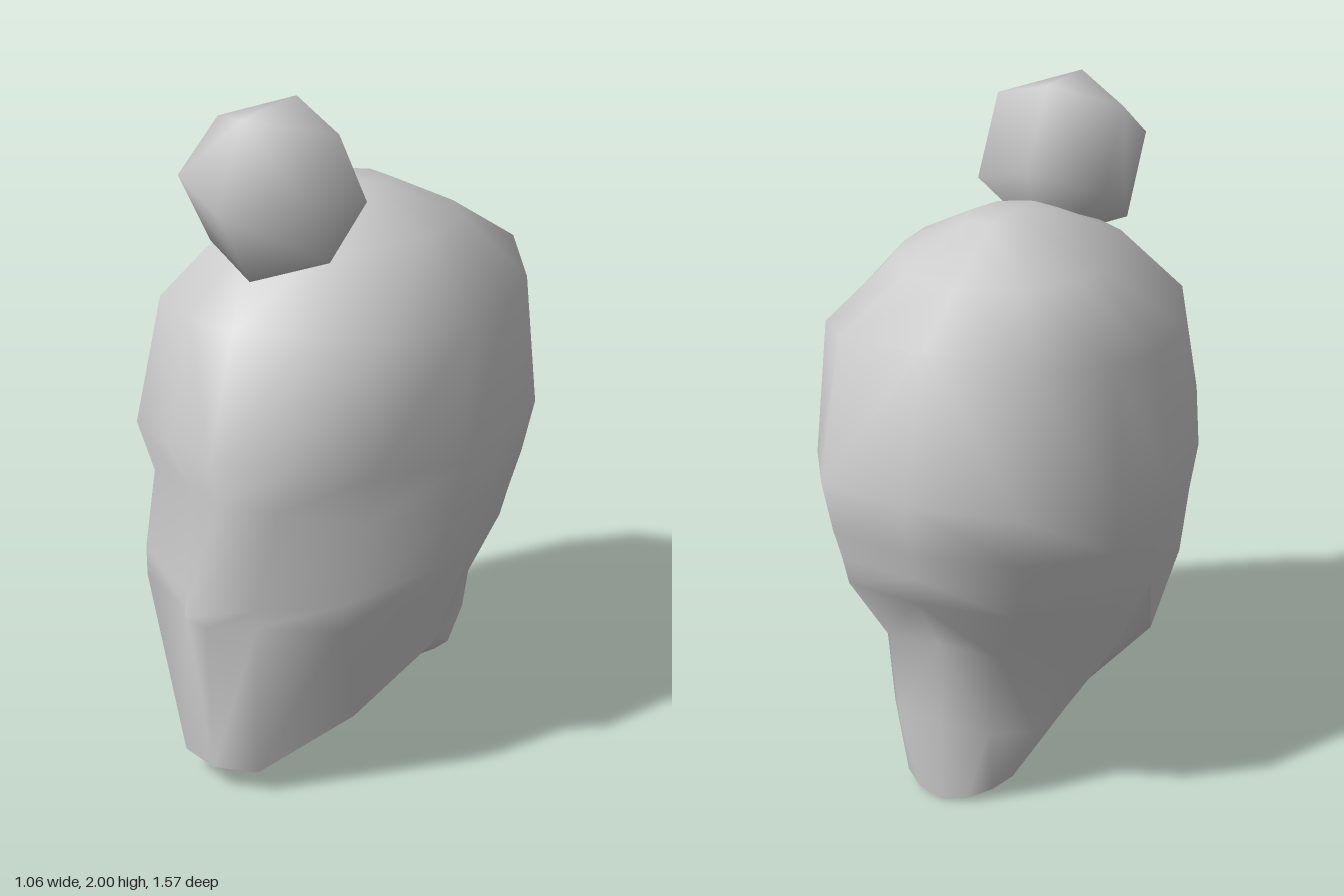
import * as THREE from 'three';

const grey = new THREE.MeshStandardMaterial({ color: 0xcccccc });

function part(name, geometry) {
  const mesh = new THREE.Mesh(geometry, grey);
  mesh.name = name;
  return mesh;
}

function geometryFrom(points, index) {
  const g = new THREE.BufferGeometry();
  g.setAttribute('position', new THREE.Float32BufferAttribute(points.flat(), 3));
  g.setIndex(index);
  g.computeVertexNormals();
  return g;
}

// Half outline of the skull from front to back: share of half width, share of depth
const outline = [[0, 1], [0.38, 0.89], [0.77, 0.69], [1, 0.19], [1, -0.17], [0.91, -0.52], [0.59, -0.88], [0, -1]];

function skullRow([yFront, zFront, ySide, w, zMid, yBack, zBack]) {
  return outline.map(([u, v]) => [
    u * w,
    ySide + (v > 0 ? v * (yFront - ySide) : v * v * (yBack - ySide)),
    zMid + v * (v > 0 ? zFront - zMid : zMid - zBack),
  ]);
}

// Complete a half row to a full ring by mirroring it in x
function mirrorRow(row) {
  return [...row, ...row.slice(1, -1).reverse().map(([x, y, z]) => [-x, y, z])];
}

function headRows() {
  const rows = [
    // crown, hairline, forehead, brow, eyes, nose tip, nose base
    [1.676, 0.095, 1.675, 0.13, -0.06, 1.697, -0.21],
    [1.59, 0.32, 1.585, 0.31, -0.09, 1.58, -0.44],
    [1.39, 0.53, 1.365, 0.5, -0.07, 1.46, -0.66],
    [1.04, 0.647, 0.955, 0.53, 0, 1.055, -0.785],
    [0.9, 0.605, 0.79, 0.5, 0.03, 0.9, -0.76],
    [0.62, 0.67, 0.65, 0.468, 0.07, 0.82, -0.748],
    [0.54, 0.68, 0.56, 0.45, 0.1, 0.737, -0.735],
  ].map(skullRow);
  // eye sockets
  rows[4][1] = [0.15, 0.88, 0.535];
  rows[4][2] = [0.375, 0.85, 0.41];
  // nose tip, wings and the upper lip beside its base
  rows[5][0] = [0, 0.62, 0.785];
  rows[5][1] = [0.115, 0.59, 0.605];
  rows[6][1] = [0.125, 0.54, 0.61];
  // jaw edge running into the nape
  rows.push([[0, 0.07, 0.663], [0.13, 0.07, 0.62], [0.29, 0.175, 0.34], [0.41, 0.34, 0.075],
    [0.34, 0.32, -0.02], [0.3, 0.38, -0.34], [0.18, 0.5, -0.555], [0, 0.536, -0.594]]);
  // underside of the jaw and middle of the neck
  rows.push([[0, 0.1, 0.25], [0.08, 0.09, 0.25], [0.16, 0.11, 0.15], [0.25, 0.18, -0.05],
    [0.245, 0.17, -0.22], [0.235, 0.2, -0.425], [0.145, 0.25, -0.57], [0, 0.27, -0.592]]);
  // rim of the neck
  rows.push([[0, 0.02, -0.3], [0.05, 0.02, -0.3], [0.11, 0.04, -0.33], [0.16, 0.04, -0.38],
    [0.17, 0.04, -0.45], [0.14, 0.035, -0.53], [0.08, 0.015, -0.575], [0, 0, -0.59]]);
  return rows;
}

// Head, jaw underside and neck base share points but keep a sharp edge between them
function headParts() {
  const rings = headRows().map(mirrorRow);
  const n = rings[0].length;
  const jawRow = 7, jawCorner = 3;
  const points = rings.flat();
  const outer = [], under = [], base = [];
  for (let i = 0; i < rings.length - 1; i++) {
    for (let j = 0; j < n; j++) {
      const k = (j + 1) % n;
      const a = i * n + j, b = i * n + k, c = a + n, d = b + n;
      const leftSide = j < n / 2;
      const column = leftSide ? j : n - 1 - j;
      const below = i >= jawRow && column <= jawCorner;
      const behindJaw = i === jawRow - 1 && column === jawCorner;
      (below ? under : outer).push(...(leftSide ? [a, c, b] : [a, d, b]));
      (below || behindJaw ? under : outer).push(...(leftSide ? [b, c, d] : [a, c, d]));
    }
  }
  // close the crown and the neck
  const top = points.push([0, 1.692, -0.06]) - 1;
  const bottom = points.push([0, 0.045, -0.45]) - 1;
  const last = (rings.length - 1) * n;
  for (let j = 0; j < n; j++) {
    const k = (j + 1) % n;
    outer.push(top, j, k);
    base.push(bottom, last + k, last + j);
  }
  return [
    part('head', geometryFrom(points, outer)),
    part('jawUnderside', geometryFrom(points, under)),
    part('neckBase', geometryFrom(points, base)),
  ];
}

export function createModel() {
  const group = new THREE.Group();
  group.name = 'headWithBun';
  group.add(...headParts());

  // hair bun, a coarse ball tilted forwards
  const bun = part('hairBun', new THREE.SphereGeometry(0.271, 6, 3).rotateY(Math.PI / 2));
  bun.rotation.x = THREE.MathUtils.degToRad(33);
  bun.position.set(0, 1.76, 0.313);
  group.add(bun);
  return group;
}
